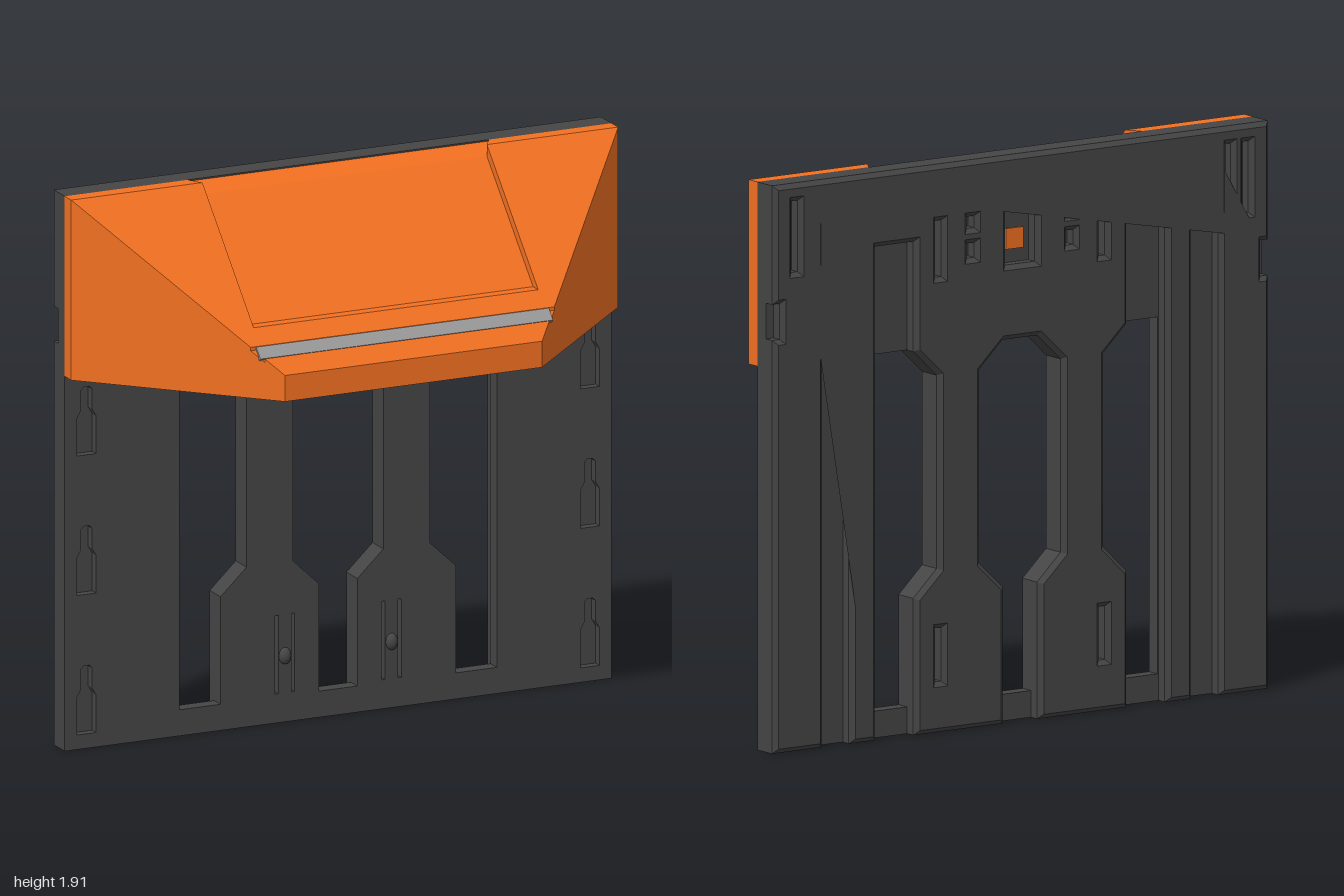
import * as THREE from 'three';

const ORANGE = new THREE.MeshStandardMaterial({ color: 0xf37021 });
const DARK = new THREE.MeshStandardMaterial({ color: 0x454545 });
const GREY = new THREE.MeshStandardMaterial({ color: 0x999999 });

const toVec = (pts) => pts.map(([x, y]) => new THREE.Vector2(x, y));
const flip = (pts) => pts.map(([x, y]) => [-x, y]).reverse();
const rect = (cx, w, y0, y1) => [[cx - w / 2, y0], [cx + w / 2, y0], [cx + w / 2, y1], [cx - w / 2, y1]];

function add(group, name, geometry, material, x = 0, y = 0, z = 0) {
  const mesh = new THREE.Mesh(geometry, material);
  mesh.name = name;
  mesh.position.set(x, y, z);
  group.add(mesh);
  return mesh;
}

function plate(outline, holes, z0, z1, bevel = 0) {
  const shape = new THREE.Shape(toVec(outline));
  shape.holes = holes.map((h) => new THREE.Path(toVec(h)));
  const geo = new THREE.ExtrudeGeometry(shape, {
    depth: z1 - z0 - 2 * bevel, bevelEnabled: bevel > 0, bevelThickness: bevel,
    bevelSize: bevel, bevelOffset: -bevel, bevelSegments: 1,
  });
  return geo.translate(0, 0, z0 + bevel);
}

// Keyhole: wide foot with a narrow neck
const keyhole = (cx, y) => [
  [cx - 0.035, y], [cx + 0.035, y], [cx + 0.035, y + 0.13], [cx + 0.02, y + 0.155],
  [cx + 0.02, y + 0.225], [cx + 0.01, y + 0.235], [cx - 0.01, y + 0.235],
  [cx - 0.02, y + 0.225], [cx - 0.02, y + 0.155], [cx - 0.035, y + 0.13],
];

// Edges of the waisted columns
const innerEdge = [[0.07, 0.46], [0.165, 0.55], [0.165, 1.2], [0.07, 1.29]];
const outerEdge = [[0.43, 1.29], [0.335, 1.2], [0.335, 0.55], [0.43, 0.46]];

function frontPlate() {
  const sideHole = [[0.43, 0.09], [0.58, 0.09], [0.58, 1.29], ...outerEdge];
  const midHalf = [[0.07, 0.09], ...innerEdge];
  const holes = [sideHole, flip(sideHole), [...midHalf, ...flip(midHalf)]];
  for (const s of [-1, 1]) {
    for (const y of [0.05, 0.53, 1.01]) holes.push(keyhole(s * 0.92, y));
    for (const d of [-0.03, 0.03]) holes.push(rect(s * 0.195 + d, 0.012, 0.1, 0.37));
  }
  return plate(rect(0, 2, 0, 1.91), holes, -0.29, -0.24);
}

// Raised back relief: header, side panels, ridges beside the openings, columns
function backRelief() {
  const half = [
    [1, 1.91], [1, 1.51], [0.97, 1.51], [0.97, 1.39], [1, 1.39], [1, 0], [0.8, 0], [0.8, 1.75],
    [0.69, 1.75], [0.69, 0], [0.585, 0], [0.585, 1.66], [0.43, 1.66], ...outerEdge,
    [0.43, 0], [0.07, 0], ...innerEdge,
  ];
  const holes = [rect(0, 0.12, 1.54, 1.73)];
  for (const s of [-1, 1]) {
    holes.push(
      rect(s * 0.91, 0.025, 1.61, 1.85), rect(s * 0.84, 0.02, 1.64, 1.85),
      rect(s * 0.33, 0.025, 1.53, 1.72), rect(s * 0.2, 0.03, 1.58, 1.63),
      rect(s * 0.2, 0.03, 1.68, 1.72), rect(s * 0.33, 0.025, 0.17, 0.35),
    );
  }
  return plate([...half, ...flip(half)], holes, -0.34, -0.27, 0.016);
}

// Hollow hood lofted along z; every slanted face runs at 45 degrees
function hood() {
  const base = 1.29, wall = 0.04;
  const section = ([z, dip = 0, solid = false]) => {
    const hw = Math.min(1, 0.81 - z);
    const top = Math.min(1.91, 1.72 - z) - dip;
    // recessed screen area in the slope
    const floor = z < 0.204 ? Math.min(1.905, Math.max(1.515, 1.68 - z)) : top;
    const rw = z < -0.2 ? 0.55 : Math.min(0.52, hw - 0.002);
    const iw = hw - wall, it = solid ? base : floor - wall;
    return [
      [-hw, base], [-hw, top], [-rw, top], [-rw, floor], [rw, floor], [rw, top], [hw, top], [hw, base],
      [iw, base], [iw, it], [-iw, it], [-iw, base],
    ].map(([x, y]) => [x, y, z]);
  };
  const rings = [
    [-0.24], [-0.19], [0.165], [0.205], [0.255], [0.255, 0.012], [0.29, 0.012], [0.29],
    [0.3], [0.3, 0, true], [0.34, 0, true],
  ].map(section);
  const pos = [];
  const quad = (a, b, c, d) => pos.push(...a, ...b, ...c, ...a, ...c, ...d);
  for (let k = 0; k < rings.length - 1; k++) {
    const r = rings[k], n = rings[k + 1];
    for (let i = 0; i < r.length; i++) {
      const j = (i + 1) % r.length;
      quad(r[i], n[i], n[j], r[j]);
    }
  }
  const f = rings[rings.length - 1];
  quad(f[0], f[7], f[6], f[1]);
  const geo = new THREE.BufferGeometry();
  geo.setAttribute('position', new THREE.Float32BufferAttribute(pos, 3));
  geo.computeVertexNormals();
  return geo;
}

export function createModel() {
  const model = new THREE.Group();
  model.name = 'wallPanelWithHood';
  add(model, 'frontPlate', frontPlate(), DARK);
  add(model, 'backRelief', backRelief(), DARK);
  add(model, 'hood', hood(), ORANGE);

  // Metal strip lying in the hood groove
  const strip = add(model, 'lightStrip', new THREE.BoxGeometry(1.07, 0.046, 0.012), GREY, 0, 1.443, 0.268);
  strip.rotation.x = -Math.PI / 4;

  // Socket in the middle of the back
  add(model, 'socket', new THREE.BoxGeometry(0.07, 0.07, 0.02), ORANGE, 0, 1.62, -0.285);

  // Snap bumps between the spring slits
  for (const s of [-1, 1]) {
    const bump = add(model, 'snapBump', new THREE.SphereGeometry(0.024, 16, 12), DARK, s * 0.195, 0.228, -0.24);
    bump.scale.set(0.9, 1.2, 0.9);
  }
  return model;
}
